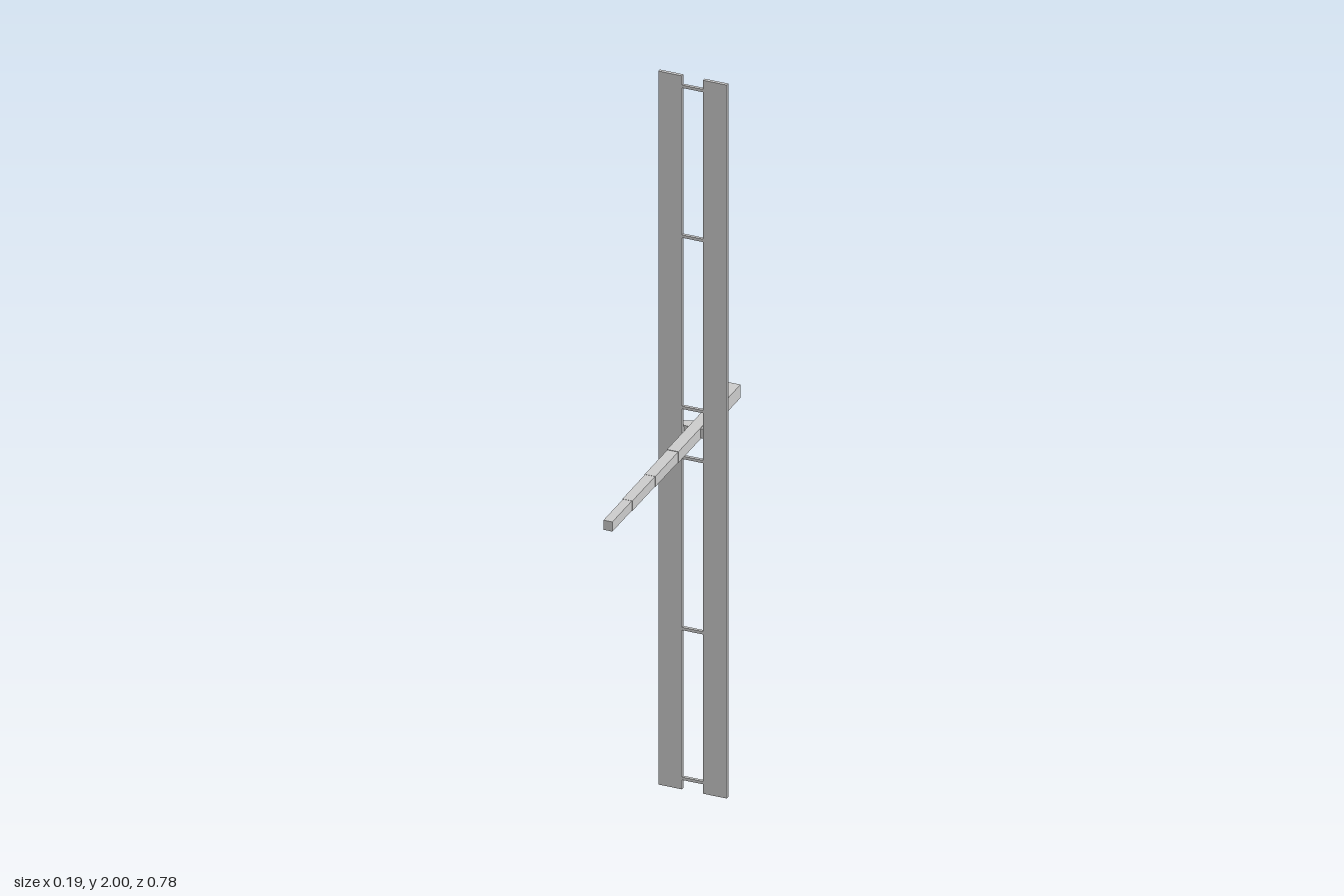
import * as THREE from 'three';

export function createModel() {
  const model = new THREE.Group();
  const material = new THREE.MeshStandardMaterial({ color: 0xcccccc, flatShading: true });

  function add(name, geometry, x, y, z) {
    const mesh = new THREE.Mesh(geometry, material);
    mesh.name = name;
    mesh.position.set(x, y, z);
    model.add(mesh);
    return mesh;
  }
  const box = (name, w, h, d, x, y, z) => add(name, new THREE.BoxGeometry(w, h, d), x, y, z);

  const panelZ = -0.137;

  // Telescoping square boom: [back z, front z, width, height]
  const sections = [
    [-0.39, -0.295, 0.034, 0.037],
    [-0.295, -0.01, 0.031, 0.031],
    [-0.01, 0.13, 0.029, 0.029],
    [0.13, 0.27, 0.027, 0.028],
    [0.27, 0.39, 0.024, 0.027],
  ];
  sections.forEach(([back, front, w, h], i) =>
    box(`boomSection${i + 1}`, w, h, front - back, 0, 1, (back + front) / 2));

  // Tall twin panels with the clips that hold them to the bracket
  for (const [side, s] of [['left', 1], ['right', -1]]) {
    box(`${side}Panel`, 0.064, 2, 0.009, s * 0.0605, 1, panelZ);
    box(`${side}InnerClip`, 0.003, 0.02, 0.016, s * 0.031, 1, -0.14);
    box(`${side}OuterClip`, 0.006, 0.02, 0.009, s * 0.08, 1, -0.145);
  }

  // Rungs joining the panels, mirrored above and below the boom
  for (const offset of [0.07, 0.55, 0.97]) {
    for (const s of [1, -1]) box('rung', 0.06, 0.008, 0.008, 0, 1 + s * offset, panelZ);
  }

  // Tapered cross bracket behind the panels (shape y becomes -z)
  const outline = new THREE.Shape([
    [-0.086, 0.147], [0.086, 0.147], [0.086, 0.157],
    [0.015, 0.18], [-0.015, 0.18], [-0.086, 0.157],
  ].map(([x, y]) => new THREE.Vector2(x, y)));
  const bracket = new THREE.ExtrudeGeometry(outline, { depth: 0.026, bevelEnabled: false });
  bracket.rotateX(-Math.PI / 2);
  add('crossBracket', bracket, 0, 0.987, 0);

  return model;
}
